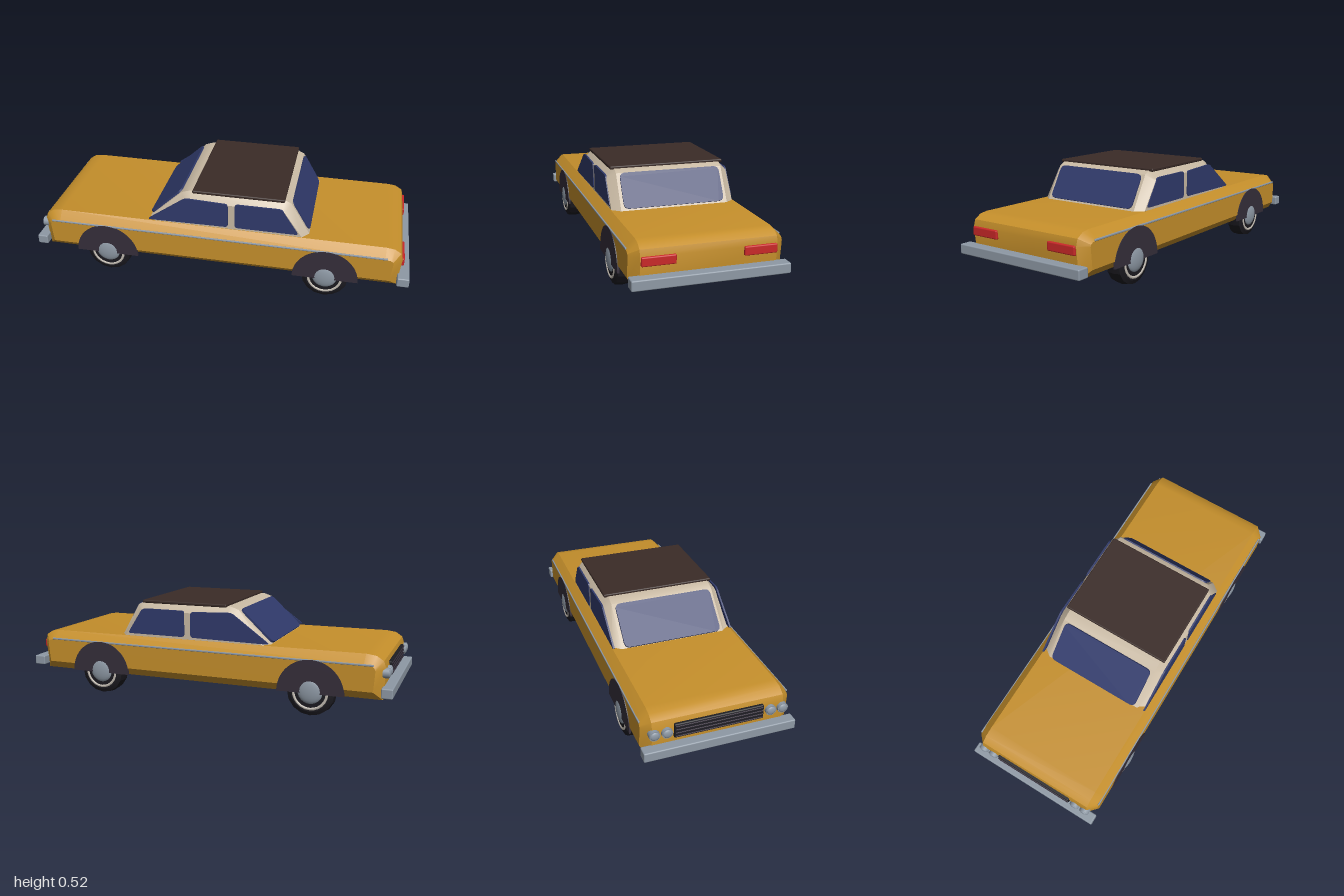
import * as THREE from 'three';
import { toCreasedNormals } from 'three/addons/utils/BufferGeometryUtils.js';
import { RoundedBoxGeometry } from 'three/addons/geometries/RoundedBoxGeometry.js';

const mat = (color) => new THREE.MeshStandardMaterial({ color });
const PAINT = mat(0xc58f2b), CABIN = mat(0xc9baa4), ROOF = mat(0x3a2b27), GLASS = mat(0x303a6b),
  RUBBER = mat(0x1b1a20), ARCH = mat(0x352e3a), CHROME = mat(0x8e99a5), RED = mat(0xc92828),
  GRILLE = mat(0x1d1d22), WHITEWALL = mat(0xc9c2b8);

function add(parent, name, geometry, material, x = 0, y = 0, z = 0) {
  const mesh = new THREE.Mesh(geometry, material);
  mesh.name = name;
  mesh.position.set(x, y, z);
  parent.add(mesh);
  return mesh;
}

const box = (w, h, d, r = 0.006) => new RoundedBoxGeometry(w, h, d, 2, r);

// Side profile extruded across the car, with chamfered flanks inside the given width
function hull(points, width, chamfer) {
  const shape = new THREE.Shape(points.map(([x, y]) => new THREE.Vector2(x, y)));
  const g = new THREE.ExtrudeGeometry(shape, {
    depth: width - 2 * chamfer, bevelEnabled: true, bevelSegments: 1,
    bevelSize: chamfer, bevelThickness: chamfer, bevelOffset: -chamfer,
  });
  g.translate(0, 0, chamfer - width / 2);
  return toCreasedNormals(g, 0.5);
}

// Thin pane with rounded corners, centred on its own plane
function pane(points, radius, thickness) {
  const pts = points.map(([x, y]) => new THREE.Vector2(x, y));
  const shape = new THREE.Shape();
  pts.forEach((p, i) => {
    const prev = pts[(i + pts.length - 1) % pts.length], next = pts[(i + 1) % pts.length];
    const a = p.clone().add(prev.clone().sub(p).setLength(radius));
    const b = p.clone().add(next.clone().sub(p).setLength(radius));
    if (i === 0) shape.moveTo(a.x, a.y); else shape.lineTo(a.x, a.y);
    shape.quadraticCurveTo(p.x, p.y, b.x, b.y);
  });
  shape.closePath();
  const g = new THREE.ExtrudeGeometry(shape, { depth: thickness, bevelEnabled: false, curveSegments: 5 });
  g.translate(0, 0, -thickness / 2);
  return toCreasedNormals(g, 0.6);
}

// Pane leaning from a bottom point to a top point in the side plane
function leaningPane(bottom, top, halfWidth, facing) {
  const up = new THREE.Vector3(top[0] - bottom[0], top[1] - bottom[1], 0);
  const h = up.length() / 2;
  up.normalize();
  const across = new THREE.Vector3(0, 0, -facing);
  const normal = across.clone().cross(up);
  const g = pane([[-halfWidth, -h], [halfWidth, -h], [halfWidth, h], [-halfWidth, h]], 0.03, 0.016);
  g.applyMatrix4(new THREE.Matrix4().makeBasis(across, up, normal));
  g.translate((bottom[0] + top[0]) / 2, (bottom[1] + top[1]) / 2, 0);
  return g;
}

// Wheel with its outer face toward +z
function makeWheel() {
  const wheel = new THREE.Group();
  wheel.name = 'wheel';
  const profile = [[0, -0.048], [0.1, -0.048], [0.12, -0.036], [0.125, 0], [0.12, 0.036], [0.1, 0.046], [0, 0.046]]
    .map(([r, a]) => new THREE.Vector2(r, a));
  const tyre = new THREE.LatheGeometry(profile, 16).rotateX(Math.PI / 2);
  add(wheel, 'tyre', toCreasedNormals(tyre, 0.35), RUBBER);
  add(wheel, 'whitewall', new THREE.TorusGeometry(0.085, 0.009, 6, 24), WHITEWALL, 0, 0, 0.042);
  const hub = new THREE.SphereGeometry(0.066, 20, 12);
  hub.scale(1, 1, 0.3);
  add(wheel, 'hubcap', hub, CHROME, 0, 0.006, 0.042);
  return wheel;
}

export function createModel() {
  const car = new THREE.Group();
  car.name = 'car';

  // Lower body, nose toward -x
  add(car, 'body', hull([
    [-0.947, 0.112], [0.94, 0.112], [0.955, 0.265], [0.945, 0.3], [0.91, 0.322], [0.87, 0.328],
    [-0.86, 0.333], [-0.91, 0.326], [-0.945, 0.303], [-0.958, 0.265],
  ], 0.734, 0.044), PAINT);

  // Cabin and roof
  add(car, 'cabin', hull([
    [-0.405, 0.3], [0.493, 0.3], [0.378, 0.497], [0.345, 0.513], [-0.15, 0.513], [-0.195, 0.498],
  ], 0.64, 0.042), CABIN);
  add(car, 'roof', box(0.48, 0.017, 0.6), ROOF, 0.105, 0.5165, 0);
  add(car, 'windscreen', leaningPane([-0.373, 0.335], [-0.2, 0.496], 0.262, -1), GLASS);
  add(car, 'rearWindow', leaningPane([0.47, 0.336], [0.378, 0.496], 0.262, 1), GLASS);

  for (const s of [1, -1]) {
    // Side glass and trim
    add(car, 'frontSideWindow',
      pane([[-0.377, 0.338], [0.057, 0.343], [0.057, 0.478], [-0.17, 0.487]], 0.018, 0.009), GLASS, 0, 0, s * 0.32);
    add(car, 'rearSideWindow',
      pane([[0.092, 0.343], [0.425, 0.343], [0.335, 0.482], [0.092, 0.482]], 0.018, 0.009), GLASS, 0, 0, s * 0.32);
    add(car, 'sideTrim', box(1.785, 0.01, 0.008, 0.003), CHROME, -0.012, 0.286, s * 0.366);

    // Wheels and their dark arches
    for (const x of [-0.6, 0.575]) {
      const wheel = makeWheel();
      wheel.position.set(x, 0.125, s * 0.317);
      if (s < 0) wheel.rotation.y = Math.PI;
      car.add(wheel);
      const half = new THREE.Shape().absarc(0, 0, 0.17, 0, Math.PI, false);
      const arch = new THREE.ExtrudeGeometry(half, { depth: 0.01, bevelEnabled: false, curveSegments: 20 });
      arch.translate(0, 0, -0.005);
      add(car, 'wheelArch', toCreasedNormals(arch, 0.5), ARCH, x, 0.12, s * 0.366);
    }

    // Lamps
    add(car, 'tailLight', box(0.022, 0.044, 0.16), RED, 0.954, 0.247, s * 0.24);
    for (const z of [0.255, 0.315]) {
      const lamp = new THREE.CylinderGeometry(0.026, 0.026, 0.03, 20).rotateZ(Math.PI / 2);
      add(car, 'headlightRim', lamp, CHROME, -0.957, 0.245, s * z);
      const lens = new THREE.SphereGeometry(0.022, 16, 10);
      lens.scale(0.4, 1, 1);
      add(car, 'headlightLens', lens, CHROME, -0.971, 0.245, s * z);
    }
  }

  // Grille with horizontal slats
  add(car, 'grille', box(0.022, 0.075, 0.44), GRILLE, -0.956, 0.244, 0);
  for (let i = 0; i < 4; i++) {
    add(car, 'grilleSlat', box(0.012, 0.006, 0.43, 0.002), ARCH, -0.966, 0.217 + i * 0.018, 0);
  }

  // Bumpers
  add(car, 'frontBumper', box(0.056, 0.05, 0.75), CHROME, -0.972, 0.157, 0);
  add(car, 'rearBumper', box(0.062, 0.05, 0.75), CHROME, 0.969, 0.157, 0);

  return car;
}
